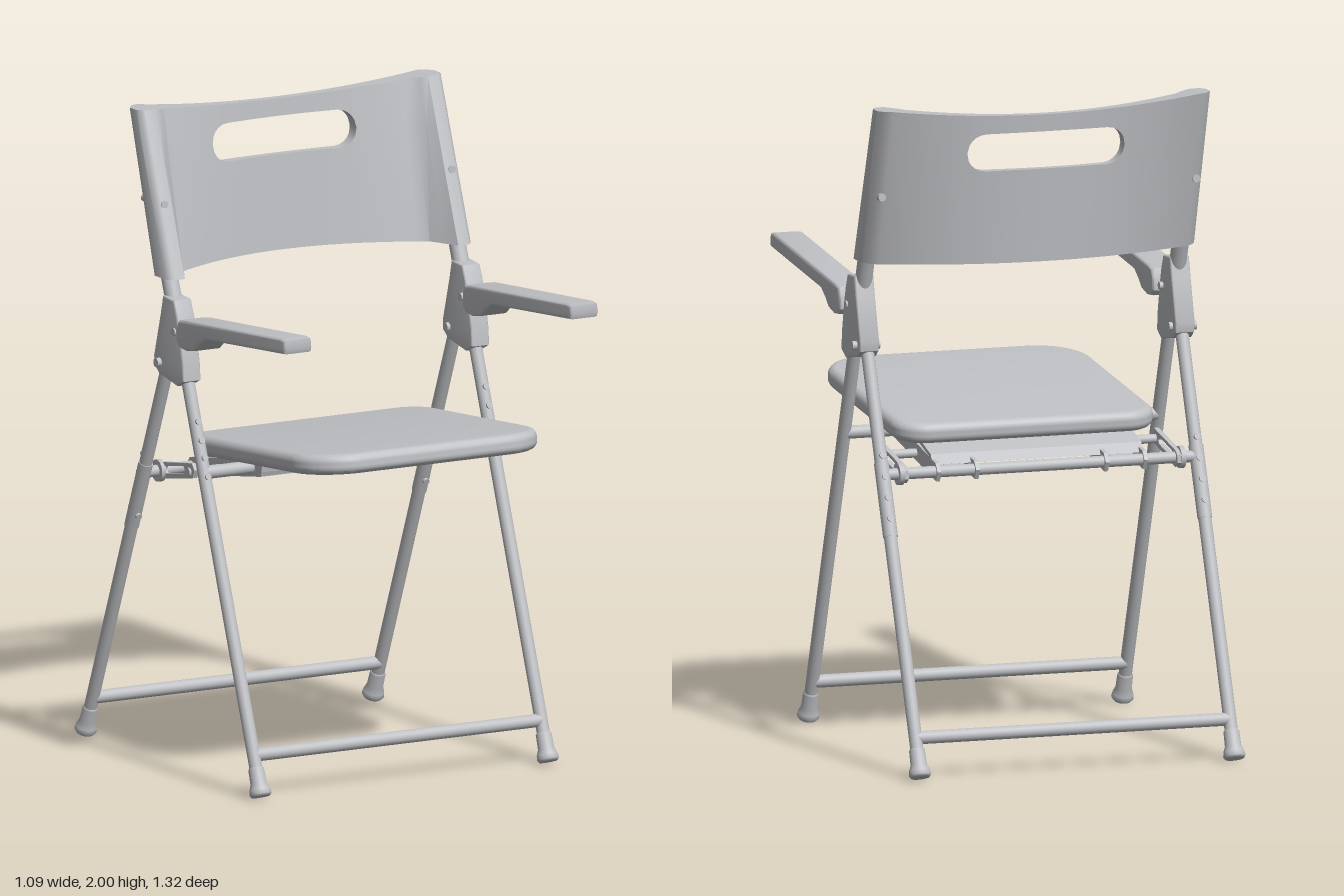
import * as THREE from 'three';
import { toCreasedNormals } from 'three/addons/utils/BufferGeometryUtils.js';

const grey = new THREE.MeshStandardMaterial({ color: 0xbfc0c4 });
grey.name = 'light grey';

const V = (x, y, z) => new THREE.Vector3(x, y, z);
const UP = V(0, 1, 0);

export function createModel() {
  const chair = new THREE.Group();
  chair.name = 'foldingChair';

  const add = (name, geometry) => {
    const mesh = new THREE.Mesh(geometry, grey);
    mesh.name = name;
    chair.add(mesh);
    return mesh;
  };

  // Place a geometry that runs along y so it runs from a to b
  const along = (mesh, a, b) => {
    mesh.position.copy(a).add(b).multiplyScalar(0.5);
    mesh.quaternion.setFromUnitVectors(UP, b.clone().sub(a).normalize());
    return mesh;
  };
  const rod = (name, a, b, r, sides = 20) =>
    along(add(name, new THREE.CylinderGeometry(r, r, a.distanceTo(b), sides)), a, b);

  // Extrude a [z, y] outline sideways, centred on x
  const sidePlate = (name, points, x, width, bevel = 0, hole = null) => {
    const shape = new THREE.Shape(points.map(([z, y]) => new THREE.Vector2(z, y)));
    if (hole) shape.holes.push(new THREE.Path(hole.map(([z, y]) => new THREE.Vector2(z, y))));
    const depth = width - 2 * bevel;
    const g = new THREE.ExtrudeGeometry(shape, {
      depth, bevelEnabled: bevel > 0, bevelSize: bevel, bevelOffset: -bevel,
      bevelThickness: bevel, bevelSegments: 3,
    });
    g.rotateY(-Math.PI / 2).translate(x + depth / 2, 0, 0);
    return add(name, toCreasedNormals(g, 0.6));
  };

  // Centre lines of the two leg pairs
  const front = (x, y) => V(x, y, 0.435 - 0.368 * (y - 0.015));
  const rear = (x, y) => V(x, y, -0.625 + 0.409 * (y - 0.015));

  const footProfile = [[0, 0], [0.028, 0], [0.034, 0.008], [0.032, 0.022], [0.025, 0.04], [0.024, 0.085], [0.02, 0.09]]
    .map(([r, y]) => new THREE.Vector2(r, y - 0.045));

  for (const s of [-1, 1]) {
    const x = 0.5 * s;
    // Legs, posts and feet
    rod('frontLeg', front(x, 0.03), front(x, 1.4), 0.02);
    rod('backrestPost', front(x, 1.3), front(x, 1.85), 0.026);
    rod('rearLeg', rear(x, 0.03), rear(x, 1.25), 0.02);
    rod('rearLegSleeve', rear(x, 0.7), rear(x, 0.91), 0.0225);
    for (const line of [front, rear]) {
      along(add('foot', new THREE.LatheGeometry(footProfile, 24)), line(x, 0.01), line(x, 0.095));
    }

    // Adjustment studs along the tubes
    for (const y of [0.93, 0.985, 1.035, 1.09]) {
      const p = front(x, y);
      rod('frontStud', p, p.clone().add(V(0, 0.008, 0.0235)), 0.01, 12);
    }
    for (const y of [0.75, 0.81, 0.87, 0.93]) {
      const p = rear(x, y);
      rod('rearStud', p, p.clone().add(V(0, 0.009, -0.025)), 0.01, 12);
    }
    const pin = rear(x, 0.745);
    rod('rearPin', pin, pin.clone().add(V(0, -0.011, 0.028)), 0.01, 12);

    // Armrest with its drooping rear end
    sidePlate('armrest', [
      [0.655, 1.42], [0.66, 1.435], [0.655, 1.462], [0.63, 1.465], [0.05, 1.412], [0.015, 1.405],
      [0.0, 1.375], [0.0, 1.34], [0.02, 1.322], [0.06, 1.318], [0.11, 1.328], [0.14, 1.352], [0.18, 1.375],
    ], s * 0.498, 0.096, 0.008);

    // Hinge housing and pivot bolts
    sidePlate('hingeHousing', [
      [-0.035, 1.455], [-0.1, 1.46], [-0.115, 1.4], [-0.155, 1.265], [-0.15, 1.235], [-0.125, 1.215],
      [-0.015, 1.195], [0.025, 1.215], [0.02, 1.27], [0.0, 1.36], [-0.015, 1.41],
    ], s * 0.502, 0.062, 0.005);
    rod('pivotBolt', V(s * 0.46, 1.25, -0.118), V(s * 0.547, 1.25, -0.118), 0.014);
    rod('pivotBolt', V(s * 0.46, 1.36, -0.03), V(s * 0.538, 1.36, -0.03), 0.012);

    // Slotted link beside the seat
    sidePlate('slottedLink', [
      [-0.08, 0.935], [-0.065, 0.915], [-0.075, 0.89], [-0.28, 0.85], [-0.302, 0.865], [-0.3, 0.89], [-0.28, 0.902],
    ], s * 0.435, 0.016, 0, [
      [-0.13, 0.917], [-0.25, 0.895], [-0.257, 0.883], [-0.247, 0.873], [-0.13, 0.894], [-0.122, 0.906],
    ]);

    // Channel bracket under the seat
    const outline = [[0.16, 0.98], [-0.28, 0.905], [-0.3, 0.88], [-0.285, 0.85], [0.15, 0.925]];
    for (const bx of [0.206, 0.329]) sidePlate('bracketSide', outline, s * bx, 0.012);
    sidePlate('bracketFloor', [[0.155, 0.94], [-0.2, 0.879], [-0.2, 0.867], [0.15, 0.926]], s * 0.267, 0.135);
    sidePlate('bracketFront', [[0.16, 0.98], [0.148, 0.978], [0.138, 0.925], [0.15, 0.925]], s * 0.267, 0.135);

    // Screws in the backrest cheeks
    rod('cheekScrew', V(x, 1.725, -0.18), V(x, 1.727, -0.143), 0.012, 16);
    rod('backScrew', V(x, 1.725, -0.23), V(x, 1.727, -0.268), 0.012, 16);
  }

  // Cross bars
  const bar = (name, y, z, half, r) => rod(name, V(-half, y, z), V(half, y, z), r);
  bar('frontStretcher', 0.13, front(0, 0.13).z, 0.5, 0.02);
  bar('rearStretcher', 0.125, rear(0, 0.125).z, 0.5, 0.02);
  bar('seatFrontBar', 0.945, 0.093, 0.5, 0.02);
  bar('seatMiddleBar', 0.905, -0.095, 0.45, 0.014);
  bar('seatRearBar', 0.878, -0.272, 0.5, 0.018);
  for (const s of [-1, 1]) rod('barCap', V(s * 0.44, 0.878, -0.272), V(s * 0.455, 0.878, -0.272), 0.034);
  sidePlate('seatRearPlate', [[-0.12, 0.955], [-0.235, 0.925], [-0.25, 0.895], [-0.24, 0.893], [-0.225, 0.915], [-0.12, 0.943]], 0, 0.67);

  // Seat cushion with rounded corners and edges
  const w = 0.39, zf = 0.387, zb = -0.387, rf = 0.135, rb = 0.075;
  const seatShape = new THREE.Shape();
  seatShape.moveTo(-w + rb, zb).lineTo(w - rb, zb);
  seatShape.absarc(w - rb, zb + rb, rb, -Math.PI / 2, 0);
  seatShape.absarc(w - rf, zf - rf, rf, 0, Math.PI / 2);
  seatShape.absarc(-w + rf, zf - rf, rf, Math.PI / 2, Math.PI);
  seatShape.absarc(-w + rb, zb + rb, rb, Math.PI, Math.PI * 1.5);
  const seatGeo = new THREE.ExtrudeGeometry(seatShape, {
    depth: 0.012, bevelSize: 0.025, bevelThickness: 0.025, bevelSegments: 5, curveSegments: 12,
  });
  seatGeo.translate(0, 0, -0.006).rotateX(Math.PI / 2);
  const seat = add('seat', toCreasedNormals(seatGeo, 0.6));
  seat.position.set(0, 1.012, 0.222);
  seat.rotation.x = -0.09;

  add('backrest', backrestGeometry());
  return chair;
}

// Curved backrest: ruled from bottom to top, thick cheeks at the sides, hand slot
function backrestGeometry() {
  const Y0 = 1.51, slotY = 1.857, slotR = 0.058, slotHalf = 0.25;
  const top = (x) => 1.968 + 0.032 * Math.min(1, (x / 0.49) ** 2);
  const step = (a, b, x) => Math.min(1, Math.max(0, (x - a) / (b - a)));
  const mix = THREE.MathUtils.lerp;
  const zFront = (x, y) => {
    const a = Math.abs(x), t = (y - Y0) / 0.49, cheek = step(0.43, 0.475, a);
    const round = 0.02 * step(0.51, 0.53, a) ** 2;
    const low = mix(-0.285 + 0.125 * Math.min(1, a / 0.43) ** 2, -0.065, cheek);
    const high = mix(-0.325 + 0.055 * Math.min(1, a / 0.45) ** 2, -0.248, cheek);
    return mix(low, high, t) - round;
  };
  const zBack = (x, y) => {
    const a = Math.abs(x), t = (y - Y0) / 0.49;
    const round = 0.03 * step(0.49, 0.53, a) ** 2;
    return mix(-0.308 + 0.125 * (a / 0.53) ** 2, -0.354 + 0.02 * (a / 0.53) ** 2, t) + round;
  };
  const slot = (x) => {
    const d = Math.max(0, Math.abs(x) - (slotHalf - slotR));
    return d >= slotR ? 0 : Math.sqrt(slotR * slotR - d * d);
  };

  // Column positions, denser round the slot ends and cheeks
  const half = [0, 0.05, 0.1, 0.15, 0.192, 0.21, 0.225, 0.237, 0.245, 0.25, 0.29, 0.33, 0.37, 0.4,
    0.43, 0.452, 0.475, 0.49, 0.5, 0.51, 0.518, 0.525, 0.53];
  const xs = [...half.slice(1).reverse().map((v) => -v), ...half];
  const rows = (x) => [Y0, slotY - slot(x), slotY + slot(x), top(x)];
  const F = (x, y) => [x, y, zFront(x, y)];
  const B = (x, y) => [x, y, zBack(x, y)];
  const pos = [];
  const quad = (a, b, c, d) => pos.push(...a, ...b, ...c, ...a, ...c, ...d);

  for (let i = 0; i < xs.length - 1; i++) {
    const p = xs[i], q = xs[i + 1], P = rows(p), Q = rows(q);
    for (const r of [0, 2]) {
      quad(F(p, P[r]), F(q, Q[r]), F(q, Q[r + 1]), F(p, P[r + 1]));
      quad(B(q, Q[r]), B(p, P[r]), B(p, P[r + 1]), B(q, Q[r + 1]));
      // Lower and upper rims of this strip
      quad(B(p, P[r]), B(q, Q[r]), F(q, Q[r]), F(p, P[r]));
      quad(F(p, P[r + 1]), F(q, Q[r + 1]), B(q, Q[r + 1]), B(p, P[r + 1]));
    }
  }
  // Outer side faces
  const e = 0.53, t = top(e);
  quad(F(e, Y0), B(e, Y0), B(e, t), F(e, t));
  quad(B(-e, Y0), F(-e, Y0), F(-e, t), B(-e, t));

  const g = new THREE.BufferGeometry();
  g.setAttribute('position', new THREE.Float32BufferAttribute(pos, 3));
  g.computeVertexNormals();
  return toCreasedNormals(g, 0.6);
}
